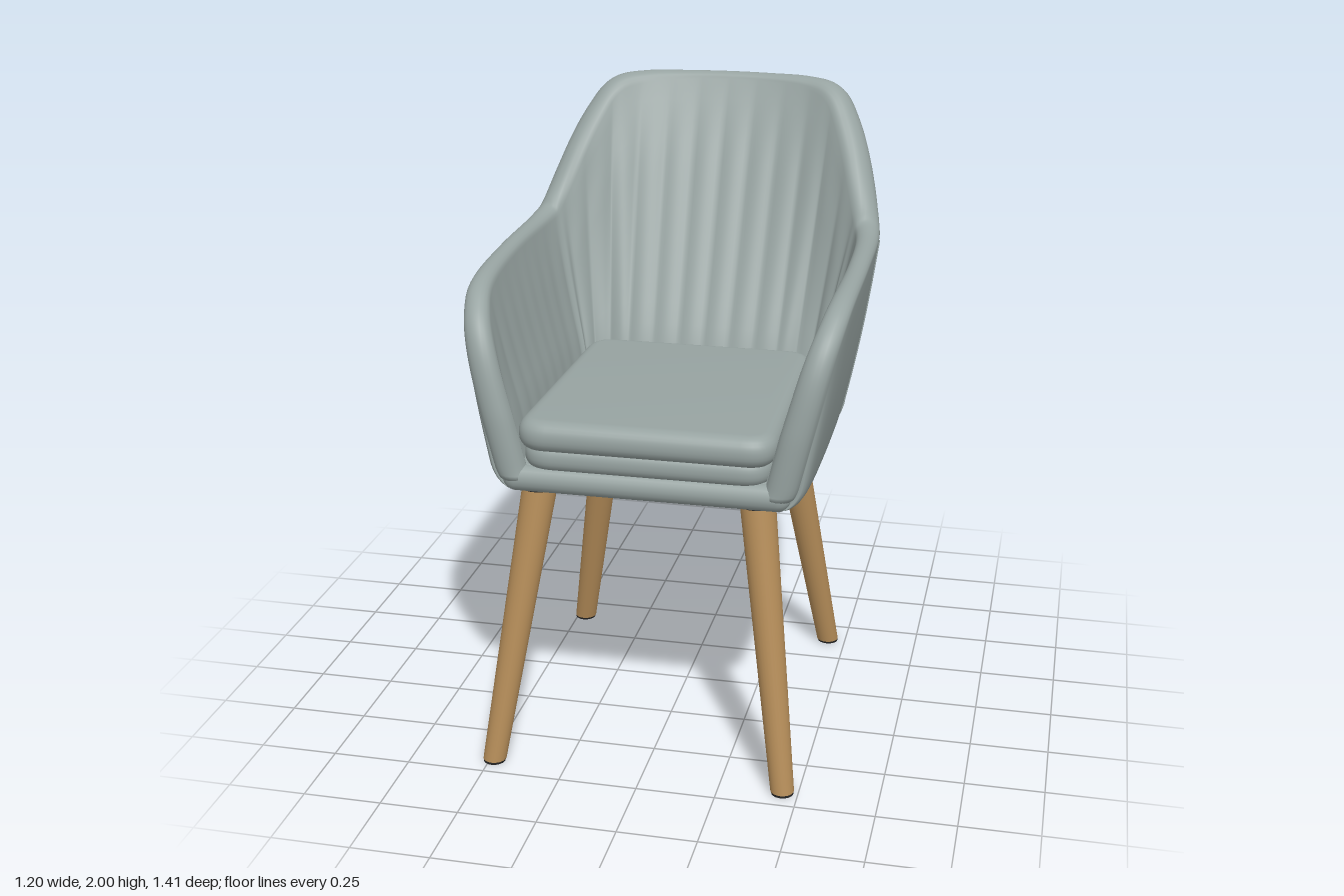
import * as THREE from 'three';
import { toCreasedNormals } from 'three/addons/utils/BufferGeometryUtils.js';

const FLOOR = 0.915; // underside of the shell

// Stations from the front of the left arm to the middle of the back:
// base x, base z, top x, top y, top z, rim height, thickness below, thickness above, facing angle
const HALF = [
  [0.455, 0.6, 0.535, 1.55, 0.6, 0.96, 0.098, 0.08, 0],
  [0.468, 0.6, 0.56, 1.55, 0.598, 1.18, 0.1, 0.08, 0],
  [0.478, 0.577, 0.58, 1.55, 0.575, 1.35, 0.103, 0.08, 0],
  [0.482, 0.52, 0.594, 1.55, 0.51, 1.45, 0.106, 0.075, 0],
  [0.485, 0.4, 0.6, 1.55, 0.39, 1.508, 0.11, 0.07, 0],
  [0.485, 0.14, 0.6, 1.55, 0.09, 1.535, 0.11, 0.065, 0],
  [0.48, -0.13, 0.593, 1.56, -0.22, 1.55, 0.11, 0.075, 8],
  [0.465, -0.25, 0.57, 1.6, -0.36, 1.59, 0.137, 0.1, 42],
  [0.435, -0.315, 0.51, 1.75, -0.51, 1.74, 0.163, 0.125, 59],
  [0.4, -0.343, 0.45, 1.87, -0.605, 1.86, 0.18, 0.125, 66],
  [0.35, -0.357, 0.39, 1.95, -0.66, 1.935, 0.195, 0.112, 72],
  [0.27, -0.363, 0.29, 1.975, -0.688, 1.963, 0.2, 0.085, 80],
  [0.14, -0.367, 0.15, 1.98, -0.7, 1.973, 0.2, 0.065, 85],
  [0, -0.368, 0, 1.98, -0.703, 1.976, 0.2, 0.06, 90],
];
const mirrored = HALF.slice(0, -1).reverse().map((r) =>
  r.map((v, k) => (k === 0 || k === 2 ? -v : k === 8 ? 180 - v : v)));
const STATIONS = [...HALF, ...mirrored];
const LAST = STATIONS.length - 1;

// Smooth interpolation between stations
function station(s) {
  s = Math.min(Math.max(s, 0), LAST);
  const i = Math.min(Math.floor(s), LAST - 1), t = s - i;
  const row = (k) => STATIONS[Math.min(Math.max(k, 0), LAST)];
  const [a, b, c, d] = [row(i - 1), row(i), row(i + 1), row(i + 2)];
  return b.map((p, k) => p + 0.5 * t * (c[k] - a[k] +
    t * (2 * a[k] - 5 * p + 4 * c[k] - d[k] + t * (3 * (p - c[k]) + d[k] - a[k]))));
}

const facing = (q) => {
  const a = THREE.MathUtils.degToRad(q[8]);
  return new THREE.Vector3(Math.cos(a), 0, -Math.sin(a));
};

// Point on the outside of the shell: slightly bulging, tucked in near the underside
function outer(q, y) {
  const f = (y - FLOOR) / (q[3] - FLOOR);
  const low = Math.max(0, 1 - (y - FLOOR) / 0.08);
  const tuck = 0.052 * (1 - Math.sqrt(1 - low * low));
  const bulge = 0.01 * Math.sin(Math.PI * THREE.MathUtils.clamp(f, 0, 1));
  return new THREE.Vector3(q[0] + (q[2] - q[0]) * f, y, q[1] + (q[4] - q[1]) * f)
    .addScaledVector(facing(q), bulge - tuck);
}

const thickness = (q, y) =>
  THREE.MathUtils.lerp(q[6], q[7], THREE.MathUtils.clamp((y - 1.15) / (q[3] - 1.15), 0, 1));

function shellGeometry() {
  const NS = 312, OUT = 14, RIM = 10, INN = 16;
  const pos = [], index = [];
  // distance along the middle of the wall drives the channel spacing
  const dist = [0];
  const mid = (i) => outer(station((i / NS) * LAST), 1.3);
  for (let i = 1; i <= NS; i++) dist.push(dist[i - 1] + mid(i).distanceTo(mid(i - 1)));
  for (let i = 0; i <= NS; i++) {
    const s = (i / NS) * LAST, q = station(s), n = facing(q), top = q[5];
    const qa = station(s - 0.05), qb = station(s + 0.05);
    const along = outer(qb, qb[5]).sub(outer(qa, qa[5]));
    const up = n.clone().cross(along).normalize();
    const section = [];
    for (let j = 0; j < OUT; j++) {
      section.push(outer(q, FLOOR + (top - FLOOR) * Math.pow(j / OUT, 1.5)));
    }
    const rim = outer(q, top), tTop = thickness(q, top);
    for (let j = 0; j <= RIM; j++) {
      const a = (Math.PI * j) / RIM;
      section.push(rim.clone().addScaledVector(n, (-tTop / 2) * (1 - Math.cos(a)))
        .addScaledVector(up, 0.4 * tTop * Math.sin(a)));
    }
    const wave = Math.sqrt(0.5 - 0.5 * Math.cos((2 * Math.PI * (dist[i] - dist[NS / 2])) / 0.1));
    const strength = 0.004 + 0.005 * Math.max(0, Math.sin(THREE.MathUtils.degToRad(q[8])));
    for (let j = 1; j <= INN; j++) {
      const f = j / INN, y = top + (0.94 - top) * f;
      const puff = strength * wave * Math.min(1, 4 * f) * Math.min(1, 4 * (1 - f));
      section.push(outer(q, y).addScaledVector(n, -thickness(q, y) - puff));
    }
    section.forEach((p) => pos.push(p.x, p.y, p.z));
    const w = section.length;
    for (let j = 0; j < w - 1; j++) {
      const a = i * w + j, b = a + w;
      if (i < NS) index.push(a, b, b + 1, a, b + 1, a + 1);
      // close both front ends
      if (i === 0) index.push(0, j, j + 1);
      if (i === NS) index.push(i * w, a + 1, a);
    }
  }
  const geo = new THREE.BufferGeometry();
  geo.setAttribute('position', new THREE.Float32BufferAttribute(pos, 3));
  geo.setIndex(index);
  geo.computeVertexNormals();
  return geo;
}

// Horizontal slab with rounded edges from a plan outline drawn as (x, -z)
function slab(shape, y0, y1, bevel) {
  const geo = new THREE.ExtrudeGeometry(shape, {
    depth: y1 - y0 - 2 * bevel, bevelThickness: bevel, bevelSize: bevel,
    bevelOffset: -bevel, bevelSegments: 6, curveSegments: 10,
  });
  geo.rotateX(-Math.PI / 2).translate(0, y0 + bevel, 0);
  return toCreasedNormals(geo, 0.7);
}

// Cushion plan, slightly narrower at the back
function cushionShape(inset) {
  const b = 0.39 - inset, f = 0.402 - inset, z0 = 0.25 - inset, z1 = -0.645 + inset, r = 0.1;
  const s = new THREE.Shape();
  s.moveTo(-f + r, z1);
  s.lineTo(f - r, z1);
  s.quadraticCurveTo(f, z1, f, z1 + r);
  s.lineTo(b, z0 - r);
  s.quadraticCurveTo(b, z0, b - r, z0);
  s.lineTo(-b + r, z0);
  s.quadraticCurveTo(-b, z0, -b, z0 - r);
  s.lineTo(-f, z1 + r);
  s.quadraticCurveTo(-f, z1, -f + r, z1);
  return s;
}

// Upright cylinder sheared so that both ends stay level
function leaning(from, to, rTop, rBottom) {
  const h = to.y - from.y;
  const geo = new THREE.CylinderGeometry(rTop, rBottom, h, 28);
  geo.applyMatrix4(new THREE.Matrix4().set(
    1, (to.x - from.x) / h, 0, (from.x + to.x) / 2,
    0, 1, 0, (from.y + to.y) / 2,
    0, (to.z - from.z) / h, 1, (from.z + to.z) / 2,
    0, 0, 0, 1));
  return geo;
}

export function createModel() {
  const model = new THREE.Group();
  const paint = (name, color) => {
    const m = new THREE.MeshStandardMaterial({ color });
    m.name = name;
    return m;
  };
  const fabric = paint('greyFabric', 0x97a3a1);
  const lining = paint('undersideLining', 0x7c8383);
  const wood = paint('wood', 0xb58d59);
  const black = paint('blackPlastic', 0x242424);
  const add = (name, geo, mat) => {
    const mesh = new THREE.Mesh(geo, mat);
    mesh.name = name;
    model.add(mesh);
  };

  // Wrap-around back and arms
  add('backAndArms', shellGeometry(), fabric);

  // Seat base closing the shell, with a lining below and a rounded front rail
  const plan = [];
  for (let i = 0; i <= 78; i++) {
    const p = outer(station((i / 78) * LAST), FLOOR);
    plan.push(new THREE.Vector2(p.x, -p.z));
  }
  const planShape = new THREE.Shape(plan);
  add('seatBase', slab(planShape, FLOOR, 1.0, 0.006), fabric);
  add('underside', slab(planShape, FLOOR - 0.003, FLOOR + 0.004, 0.003), lining);
  const rail = new THREE.CapsuleGeometry(0.042, 0.81, 8, 16).rotateZ(Math.PI / 2);
  add('frontRail', rail.scale(1, 1, 0.85).translate(0, 0.957, 0.6), fabric);

  // Seat cushion in two layers with a tucked seam between them
  add('cushionLower', slab(cushionShape(0.014), 0.985, 1.075, 0.04), fabric);
  add('cushionUpper', slab(cushionShape(0), 1.05, 1.15, 0.045), fabric);

  // Raised seams on the outside
  const seam = (name, s, y0, y1) => {
    const q = station(s), pts = [];
    for (let i = 0; i <= 12; i++) pts.push(outer(q, y0 + ((y1 - y0) * i) / 12));
    add(name, new THREE.TubeGeometry(new THREE.CatmullRomCurve3(pts), 24, 0.004, 6), fabric);
  };
  seam('backSeam', LAST / 2, 0.96, 1.83);
  seam('leftSeam', 6, 0.93, 1.55);
  seam('rightSeam', LAST - 6, 0.93, 1.55);

  // Splayed tapered legs with mounts and foot pads, the frame set slightly to the right
  const legs = [
    ['front', [0.468, 0.675], [0.343, 0.52]],
    ['back', [0.455, -0.392], [0.308, -0.212]],
  ];
  for (const [end, foot, head] of legs) {
    for (const side of [1, -1]) {
      const name = end + (side > 0 ? 'Left' : 'Right');
      const at = (y) => new THREE.Vector3(
        THREE.MathUtils.lerp(side * foot[0] - 0.017, side * head[0] - 0.01, y / 0.91), y,
        THREE.MathUtils.lerp(foot[1], head[1], y / 0.91));
      add(name + 'Leg', leaning(at(0.008), at(0.93), 0.056, 0.037), wood);
      add(name + 'FootPad', leaning(at(0), at(0.008), 0.036, 0.035), black);
      add(name + 'Mount', leaning(at(0.904), at(0.92), 0.066, 0.066), black);
    }
  }
  return model;
}
